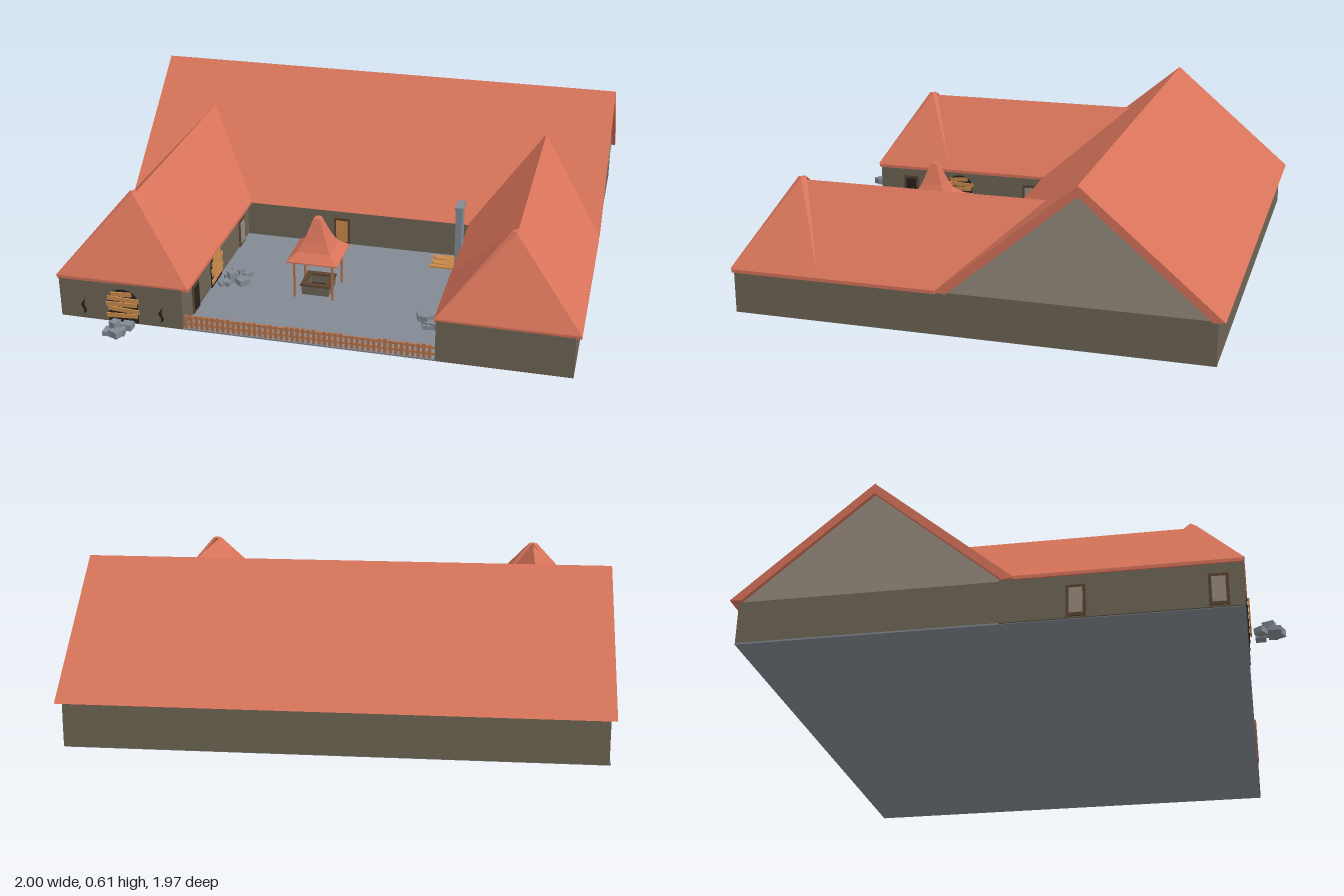
import * as THREE from 'three';

const mat = (name, color, side = THREE.FrontSide) => {
  const m = new THREE.MeshStandardMaterial({ color, side });
  m.name = name;
  return m;
};

export function createModel() {
  const root = new THREE.Group();
  root.name = 'courtyardFarm';
  const tile = mat('roofTile', 0xd8745a, THREE.DoubleSide);
  const wall = mat('wallStone', 0x6e6555);
  const plaster = mat('gablePlaster', 0x968c80);
  const stone = mat('greyStone', 0x828a93);
  const wood = mat('orangeWood', 0xc98a4c);
  const fenceWood = mat('fenceWood', 0xb5714a);
  const brown = mat('darkTimber', 0x5a4330);
  const dark = mat('darkOpening', 0x25221f);

  const add = (name, geo, material, parent = root) => {
    const m = new THREE.Mesh(geo, material);
    m.name = name;
    parent.add(m);
    return m;
  };
  // Box given by its two extreme corners
  const box = (name, x0, x1, y0, y1, z0, z1, material, parent = root) => {
    const m = add(name, new THREE.BoxGeometry(x1 - x0, y1 - y0, z1 - z0), material, parent);
    m.position.set((x0 + x1) / 2, (y0 + y1) / 2, (z0 + z1) / 2);
    return m;
  };
  // Flat polygons, corners counter-clockwise from outside
  const polygons = (faces) => {
    const p = [];
    for (const f of faces)
      for (let i = 1; i < f.length - 1; i++) p.push(...f[0], ...f[i], ...f[i + 1]);
    const g = new THREE.BufferGeometry();
    g.setAttribute('position', new THREE.Float32BufferAttribute(p, 3));
    g.computeVertexNormals();
    return g;
  };
  // Outline in (z, y), extruded along x
  const alongX = (pts, x0, x1) => {
    const s = new THREE.Shape(pts.map(([z, y]) => new THREE.Vector2(-z, y)));
    const g = new THREE.ExtrudeGeometry(s, { depth: x1 - x0, bevelEnabled: false });
    return g.rotateY(Math.PI / 2).translate(x0, 0, 0);
  };
  let seed = 7;
  const rnd = () => (seed = (seed * 16807) % 2147483647) / 2147483647;

  // Ground and walls
  box('ground', -0.985, 0.978, 0, 0.006, -0.958, 0.845, stone);
  box('mainWalls', -0.98, 0.98, 0.002, 0.19, -0.96, 0.02, wall);
  box('rightWingWalls', -0.993, -0.497, 0.002, 0.17, 0.0, 0.848, wall);
  box('leftWingWalls', 0.475, 0.98, 0.002, 0.17, 0.0, 0.848, wall);

  // Main roof and the gables beneath it
  add('mainRoof', alongX([[-0.988, 0.172], [-0.47, 0.612], [0.055, 0.172], [0.01, 0.168],
    [-0.47, 0.572], [-0.945, 0.168]], -1, 1), tile);
  add('gables', alongX([[-0.955, 0.168], [0.02, 0.168], [-0.47, 0.58]], -0.984, 0.984), plaster);

  // Wing roofs: hipped in front, running into the main roof behind
  for (const [name, x0, x1] of [['rightWingRoof', -1, -0.47], ['leftWingRoof', 0.468, 1]]) {
    const c = (x0 + x1) / 2, y = 0.178, b = 0.165, top = 0.465;
    const B = [c, top, -0.29], F = [c, top, 0.66];
    const bl = [x0, y, 0.05], br = [x1, y, 0.05], fl = [x0, y, 0.848], fr = [x1, y, 0.848];
    const low = ([x, , z]) => [x, b, z];
    add(name, polygons([
      [bl, fl, F, B], [fr, br, B, F], [fl, fr, F],
      [low(bl), low(fl), fl, bl], [low(fr), low(br), br, fr], [low(fl), low(fr), fr, fl],
      [low(bl), low(br), low(fr), low(fl)],
    ]), tile);
    // Raised hip cap over the front end
    const w = 0.018, t = 0.475;
    const tl = [c - w, t, 0.665], tr = [c + w, t, 0.665], tf = [c, t, 0.685], tb = [c, t, 0.65];
    const p = [x0, 0.18, 0.852], q = [x1, 0.18, 0.852], r = [x1, 0.18, 0.5], s = [x0, 0.18, 0.5];
    add(name + 'Cap', polygons([
      [p, q, tf], [p, tf, tl], [q, tr, tf], [s, p, tl], [q, r, tr],
      [s, tl, tb], [r, tb, tr], [tl, tf, tr, tb],
    ]), tile);
  }

  // Arched doorway nailed shut with boards, facing +z
  const boardedArch = (name, x, z, ry) => {
    const g = new THREE.Group();
    g.name = name;
    g.position.set(x, 0.006, z);
    g.rotation.y = ry;
    root.add(g);
    const s = new THREE.Shape();
    s.moveTo(-0.06, 0);
    s.lineTo(0.06, 0);
    s.lineTo(0.06, 0.09);
    s.absellipse(0, 0.09, 0.06, 0.05, 0, Math.PI, false);
    s.lineTo(-0.06, 0);
    add('opening', new THREE.ExtrudeGeometry(s, { depth: 0.004, bevelEnabled: false }), dark, g);
    [0.03, 0.055, 0.078, 0.1, 0.122].forEach((y, i) => {
      const len = i === 4 ? 0.085 : 0.125;
      const m = add('board', new THREE.BoxGeometry(len, 0.017, 0.006), wood, g);
      m.position.set((i % 2 - 0.5) * 0.008, y, 0.008);
      m.rotation.z = [0.05, -0.06, 0.03, -0.04, 0.05][i];
    });
  };
  boardedArch('frontArch', -0.735, 0.848, 0);
  boardedArch('rightWingArch', -0.497, 0.46, Math.PI / 2);
  boardedArch('leftWingArch', 0.475, 0.6, -Math.PI / 2);

  // Small framed doors, facing +z before turning
  const door = (name, x, z, ry, panel) => {
    const g = new THREE.Group();
    g.name = name;
    g.position.set(x, 0.006, z);
    g.rotation.y = ry;
    root.add(g);
    box('frame', -0.035, 0.035, 0, 0.12, 0, 0.005, brown, g);
    box('panel', -0.024, 0.024, 0.012, 0.108, 0, 0.008, panel, g);
  };
  door('outerDoor', -0.993, 0.27, -Math.PI / 2, plaster);
  door('outerDoor', -0.993, 0.76, -Math.PI / 2, plaster);
  door('courtDoor', -0.497, 0.12, Math.PI / 2, plaster);
  door('courtDoor', -0.497, 0.7, Math.PI / 2, dark);
  door('mainDoor', -0.08, 0.02, 0, wood);

  // Wall cracks beside the front arch
  for (const x of [-0.9, -0.585]) {
    const s = new THREE.Shape([[0, 0.02], [0.014, 0.035], [0.004, 0.06], [0.01, 0.088],
      [-0.01, 0.06], [0.002, 0.038]].map(([a, b]) => new THREE.Vector2(x + a, b)));
    add('wallCrack', new THREE.ExtrudeGeometry(s, { depth: 0.003, bevelEnabled: false }), dark)
      .position.z = 0.847;
  }

  // Heaps of fallen stone
  const rubble = (name, x, z, sx, sz) => {
    const g = new THREE.Group();
    g.name = name;
    root.add(g);
    for (let i = 0; i < 10; i++) {
      const h = 0.018 + rnd() * 0.01, w = 0.028 + rnd() * 0.02;
      const m = add('rubbleStone', new THREE.BoxGeometry(w, h, 0.026 + rnd() * 0.016), stone, g);
      const high = i > 6, k = high ? 0.4 : 1;
      m.position.set(x + (rnd() - 0.5) * sx * k, h / 2 + (high ? 0.024 : 0.003), z + (rnd() - 0.5) * sz * k);
      m.rotation.y = rnd() * 3;
    }
  };
  rubble('frontRubble', -0.735, 0.92, 0.1, 0.08);
  rubble('rightRubble', -0.42, 0.43, 0.09, 0.11);
  rubble('leftRubble', 0.395, 0.59, 0.09, 0.1);

  // Picket fence across the court entrance
  for (let i = 0; i < 46; i++) {
    const x = -0.487 + i * 0.0209, h = 0.058 + rnd() * 0.008;
    box('fencePicket', x - 0.006, x + 0.006, 0.004, h, 0.835, 0.842, fenceWood);
  }
  for (const y of [0.018, 0.045]) box('fenceRail', -0.497, 0.475, y, y + 0.008, 0.828, 0.835, fenceWood);

  // Well with a flared roof on four posts
  const well = new THREE.Group();
  well.name = 'well';
  well.position.set(-0.075, 0, 0.43);
  root.add(well);
  const flare = [[0, 0.165], [0.102, 0.165], [0.102, 0.17], [0.066, 0.2], [0.045, 0.24], [0.028, 0.285],
    [0.014, 0.324], [0.008, 0.33], [0, 0.33]].map(([r, y]) => new THREE.Vector2(r * Math.SQRT2, y));
  const roofGeo = new THREE.LatheGeometry(flare, 4).rotateY(Math.PI / 4).toNonIndexed();
  roofGeo.computeVertexNormals();
  add('wellRoof', roofGeo, tile, well);
  for (let i = 0; i < 4; i++) {
    const side = new THREE.Group();
    side.name = 'wellSide';
    side.rotation.y = i * Math.PI / 2;
    well.add(side);
    box('wellWall', -0.055, 0.04, 0.001, 0.045, 0.04, 0.055, wall, side);
    box('wellRim', -0.06, 0.038, 0.045, 0.052, 0.038, 0.06, brown, side);
    box('wellPost', 0.073, 0.081, 0.004, 0.168, 0.073, 0.081, fenceWood, side);
  }
  box('wellWater', -0.042, 0.042, 0.004, 0.012, -0.042, 0.042, dark, well);

  // Chimney against the inner wall
  box('chimneyBase', 0.445, 0.478, 0.004, 0.085, 0.225, 0.31, wall);
  box('chimney', 0.45, 0.475, 0.08, 0.355, 0.235, 0.3, stone);
  box('chimneyRim', 0.447, 0.478, 0.35, 0.365, 0.23, 0.305, stone);

  // Loose planks in the corner of the court
  [0.07, 0.092, 0.113, 0.135, 0.157].forEach((z, i) => {
    const m = box('loosePlank', 0.325 + (i % 2) * 0.012, 0.468, 0.016, 0.024, z - 0.009, z + 0.009, wood);
    m.rotation.y = [0.05, -0.08, 0.06, -0.05, 0.03][i];
  });
  return root;
}
